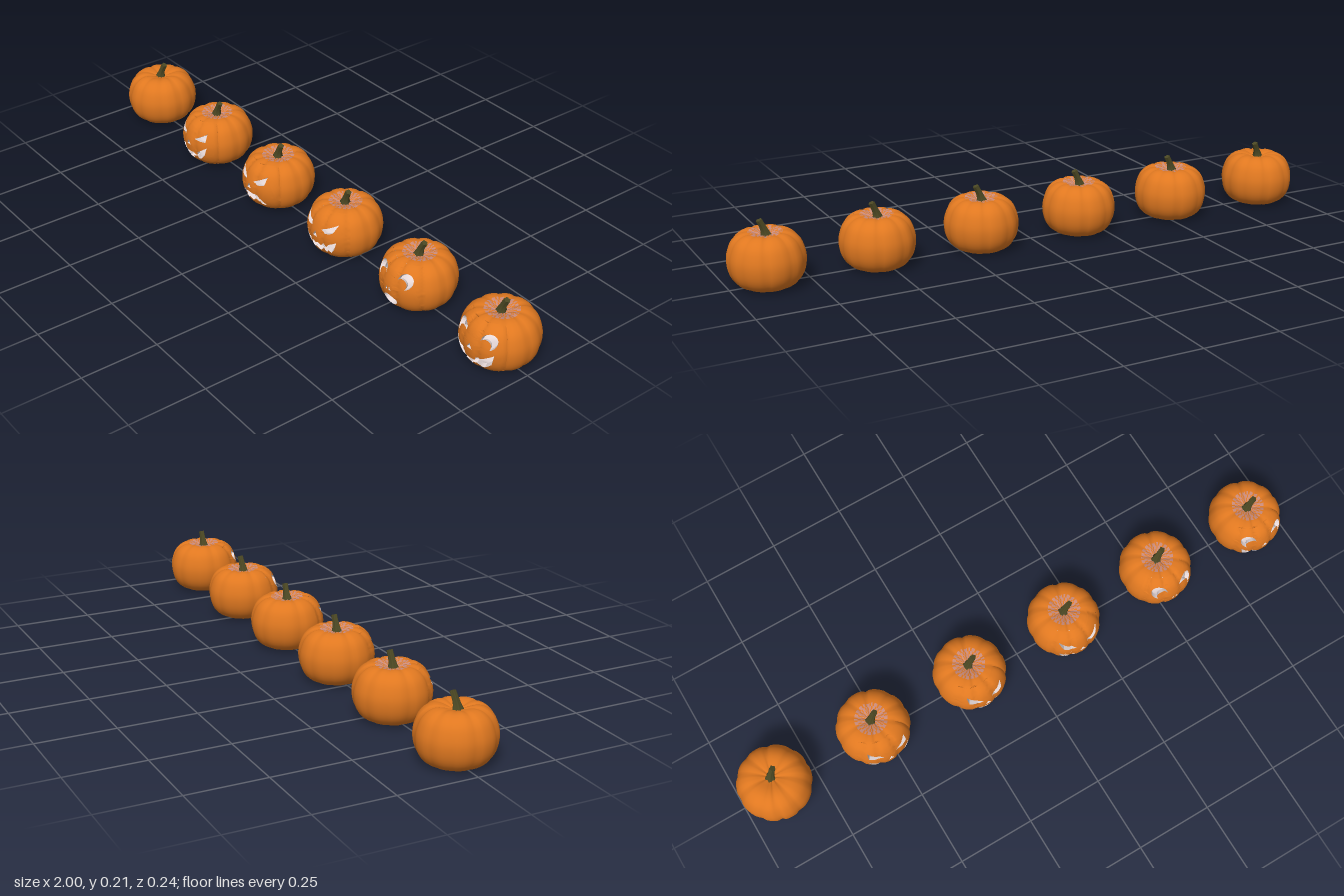
import * as THREE from 'three';
import { mergeVertices } from 'three/addons/utils/BufferGeometryUtils.js';

const orange = new THREE.MeshStandardMaterial({ name: 'orange skin', color: 0xe07820 });
const flesh = new THREE.MeshStandardMaterial({ name: 'pale flesh', color: 0xeadcdc });
const rosy = new THREE.MeshStandardMaterial({ name: 'rosy scrape', color: 0xc98a78 });
const stemGreen = new THREE.MeshStandardMaterial({ name: 'dark stem', color: 0x4c4823 });

// Half profile from bottom centre to top centre (radius, height)
const profile = new THREE.SplineCurve([
  [0, 0.004], [0.045, 0.001], [0.073, 0.002], [0.098, 0.018], [0.114, 0.045], [0.12, 0.08],
  [0.116, 0.11], [0.102, 0.142], [0.077, 0.162], [0.05, 0.166], [0.02, 0.158], [0, 0.153],
].map(p => new THREE.Vector2(...p)));

// Flat map of the skin: u = angle * U, v = fraction of profile * V, on a regular grid
const U = 0.1, V = 0.35, COLS = 60, ROWS = 32;
const node = (i, j) => new THREE.Vector2((i / COLS - 0.5) * 2 * Math.PI * U, j / ROWS * V);
const crease = a => Math.pow(1 - Math.abs(Math.sin(5 * (a + 0.07 * Math.sin(3 * a + 1)) + 1.57)), 2.5);

function skinPoint(u, v, inset = 0) {
  const a = u / U, c = crease(a), k = 1 - inset / 0.12;
  const p = profile.getPointAt(Math.min(1, Math.max(0, v / V)));
  const r = p.x * (1 - 0.055 * c) * k;
  const y = 0.08 + (p.y - (p.y > 0.08 ? 0.06 * c * (p.y - 0.08) : 0) - 0.08) * k;
  return new THREE.Vector3(r * Math.sin(a) * 0.985, y, r * Math.cos(a));
}

// Front-facing (x, y) to the flat map
function toMap([x, y]) {
  let lo = 0.22, hi = 0.8;
  for (let i = 0; i < 25; i++) {
    const m = (lo + hi) / 2;
    if (profile.getPointAt(m).y < y) lo = m; else hi = m;
  }
  const r = profile.getPointAt(lo).x * 0.985;
  let a = 0;
  for (let i = 0; i < 6; i++) a = Math.asin(x / (r * (1 - 0.055 * crease(a))));
  return new THREE.Vector2(a * U, lo * V);
}

// Grid cells of the flat map as triangles, leaving out some cells
function cells(j0, j1, skip = () => false) {
  const tris = [];
  for (let j = j0; j < j1; j++) for (let i = 0; i < COLS; i++) {
    if (skip(i, j)) continue;
    const a = node(i, j), b = node(i + 1, j), c = node(i + 1, j + 1), d = node(i, j + 1);
    tris.push([a, b, c], [a, c, d]);
  }
  return tris;
}

// Front window of the flat map with the carved openings left out
const WIN = { i0: 20, i1: 40, j0: 8, j1: 25 };
const inWindow = (i, j) => i >= WIN.i0 && i < WIN.i1 && j >= WIN.j0 && j < WIN.j1;
function carvedWindow(holes) {
  const outline = [], tris = [], { i0, i1, j0, j1 } = WIN;
  for (let i = i0; i < i1; i++) outline.push(node(i, j0));
  for (let j = j0; j < j1; j++) outline.push(node(i1, j));
  for (let i = i1; i > i0; i--) outline.push(node(i, j1));
  for (let j = j1; j > j0; j--) outline.push(node(i0, j));
  const points = [...outline, ...holes.flat()];
  // Halve the longest edge until the triangles follow the curve
  const split = (a, b, c) => {
    const ab = a.distanceTo(b), bc = b.distanceTo(c), ca = c.distanceTo(a);
    const longest = Math.max(ab, bc, ca);
    if (longest <= 0.014) tris.push([a, b, c]);
    else if (longest === ab) {
      const h = a.clone().add(b).multiplyScalar(0.5);
      split(a, h, c);
      split(h, b, c);
    } else if (longest === bc) split(b, c, a);
    else split(c, a, b);
  };
  for (const f of THREE.ShapeUtils.triangulateShape(outline, holes)) {
    const [a, b, c] = f.map(i => points[i]);
    const area = (b.x - a.x) * (c.y - a.y) - (b.y - a.y) * (c.x - a.x);
    if (area > 0) split(a, b, c); else split(a, c, b);
  }
  return tris;
}

// Wraps flat triangles on the skin with smooth normals
function wrap(tris, inset = 0, inward = false) {
  const pos = [];
  for (const [a, b, c] of tris) for (const p of inward ? [a, c, b] : [a, b, c]) {
    pos.push(...skinPoint(p.x, p.y, inset).toArray());
  }
  const g = new THREE.BufferGeometry();
  g.setAttribute('position', new THREE.Float32BufferAttribute(pos, 3));
  const merged = mergeVertices(g, 1e-5);
  merged.computeVertexNormals();
  return merged;
}

// Cut thickness around the carved openings
const DEPTH = 0.014;
function cutWalls(holes) {
  const pos = [];
  for (const loop of holes) loop.forEach((a, i) => {
    const b = loop[(i + 1) % loop.length];
    const n = Math.ceil(a.distanceTo(b) / 0.01);
    for (let j = 0; j < n; j++) {
      const p = a.clone().lerp(b, j / n), q = a.clone().lerp(b, (j + 1) / n);
      const [po, qo, pi, qi] = [skinPoint(p.x, p.y), skinPoint(q.x, q.y),
        skinPoint(p.x, p.y, DEPTH), skinPoint(q.x, q.y, DEPTH)];
      for (const w of [po, qo, pi, qo, qi, pi]) pos.push(...w.toArray());
    }
  });
  const g = new THREE.BufferGeometry();
  g.setAttribute('position', new THREE.Float32BufferAttribute(pos, 3));
  g.computeVertexNormals();
  return g;
}

// Outline helpers
const flip = pts => pts.map(([x, y]) => [-x, y]);
const pair = pts => [pts, flip(pts)];
const sym = half => [...half, ...flip(half.filter(p => p[0] > 0)).reverse()];
const arc = (cx, cy, rx, ry, a0, a1, n) => Array.from({ length: n }, (_, i) => {
  const a = a0 + (a1 - a0) * i / (n - 1);
  return [cx + rx * Math.cos(a), cy + ry * Math.sin(a)];
});
const crescent = (cx, cy, r, dir) => [
  ...arc(cx, cy, r, r, dir - 2.2, dir + 2.2, 16),
  ...arc(cx - 0.61 * r * Math.cos(dir), cy - 0.61 * r * Math.sin(dir),
    0.81 * r, 0.81 * r, dir + 1.35, dir - 1.35, 9),
];
const nose = [[0, 0.1], [0.01, 0.082], [-0.01, 0.082]];

const faces = [
  null,
  // friendly grin
  [...pair([[0.064, 0.134], [0.022, 0.108], [0.066, 0.106]]), nose,
    sym([[0, 0.054], [0.018, 0.056], [0.022, 0.046], [0.034, 0.05], [0.037, 0.062], [0.072, 0.088],
      [0.062, 0.055], [0.044, 0.036], [0.031, 0.03], [0.028, 0.041], [0.014, 0.039], [0.012, 0.027], [0, 0.026]])],
  // angry frown
  [...pair([[0.06, 0.136], [0.016, 0.11], [0.032, 0.102], [0.058, 0.108]]), nose,
    sym([[0, 0.067], [0.03, 0.063], [0.05, 0.048], [0.058, 0.03], [0.045, 0.033], [0.04, 0.044],
      [0.03, 0.034], [0.022, 0.046], [0.012, 0.036], [0, 0.046]])],
  // zigzag grin
  [...pair([[0.068, 0.138], [0.02, 0.112], [0.036, 0.103], [0.06, 0.11]]), nose,
    sym([[0, 0.056], [0.01, 0.063], [0.02, 0.053], [0.03, 0.065], [0.042, 0.056], [0.05, 0.068], [0.074, 0.082],
      [0.066, 0.054], [0.054, 0.036], [0.046, 0.045], [0.036, 0.03], [0.026, 0.043], [0.014, 0.03], [0, 0.042]])],
  // startled
  [...pair(crescent(0.048, 0.122, 0.024, 0.9)), ...pair([[0.004, 0.094], [0.011, 0.08], [0.003, 0.08]]),
    arc(0, 0.042, 0.025, 0.021, 0, Math.PI * 1.9, 20)],
  // toothy laugh
  [...pair(crescent(0.052, 0.12, 0.023, 1.0)), nose,
    sym([[0, 0.046], [0.018, 0.047], [0.02, 0.057], [0.036, 0.06], [0.075, 0.086], [0.067, 0.05],
      [0.046, 0.03], [0.023, 0.022], [0.02, 0.034], [0.007, 0.033], [0.005, 0.02], [0, 0.02]])],
];

// Ridged, flared stem that leans towards +x
function stemGeometry() {
  const g = new THREE.CylinderGeometry(1, 1, 1, 20, 8);
  const p = g.attributes.position;
  for (let i = 0; i < p.count; i++) {
    const t = p.getY(i) + 0.5, a = Math.atan2(p.getZ(i), p.getX(i));
    const rad = Math.hypot(p.getX(i), p.getZ(i));
    const r = rad * (0.0085 + 0.009 * Math.pow(1 - t, 3)) * (1 + 0.15 * Math.cos(5 * a));
    p.setXYZ(i, r * Math.cos(a) - 0.004 + 0.021 * Math.pow(t, 1.4),
      0.151 + 0.053 * t - t * 0.4 * r * Math.cos(a), r * Math.sin(a));
  }
  g.computeVertexNormals();
  return g;
}

export function createModel() {
  const model = new THREE.Group();
  const add = (group, name, geo, mat) => {
    const m = new THREE.Mesh(geo, mat);
    m.name = name;
    group.add(m);
    return m;
  };
  const interior = wrap(cells(0, ROWS), DEPTH, true);
  const stem = stemGeometry();
  // Mottled ring around the stem and bare patch underneath
  const topRing = wrap(cells(27, 31, (i, j) => (i * 7 + j * 5) % 11 < 4), -0.0012);
  const bottomPatch = wrap(cells(0, 6), -0.0008);

  faces.forEach((face, i) => {
    const pumpkin = new THREE.Group();
    pumpkin.name = face ? `carvedPumpkin${i}` : 'plainPumpkin';
    pumpkin.position.x = -0.8815 + i * 0.3526;
    const holes = (face || []).map(h => {
      const loop = h.map(toMap);
      return THREE.ShapeUtils.isClockWise(loop) ? loop.reverse() : loop;
    });
    const skin = face ? [...cells(0, ROWS, inWindow), ...carvedWindow(holes)] : cells(0, ROWS);
    add(pumpkin, 'skin', wrap(skin), orange);
    add(pumpkin, 'stem', stem, stemGreen).rotation.y = [0.35, 0.1, 0, -0.1, 0.15, 0][i];
    if (face) {
      add(pumpkin, 'interior', interior, flesh);
      add(pumpkin, 'cutEdges', cutWalls(holes), flesh);
      add(pumpkin, 'topRing', topRing, rosy);
    }
    if (i === 1 || i === 4) add(pumpkin, 'bottomPatch', bottomPatch, rosy);
    model.add(pumpkin);
  });
  return model;
}
